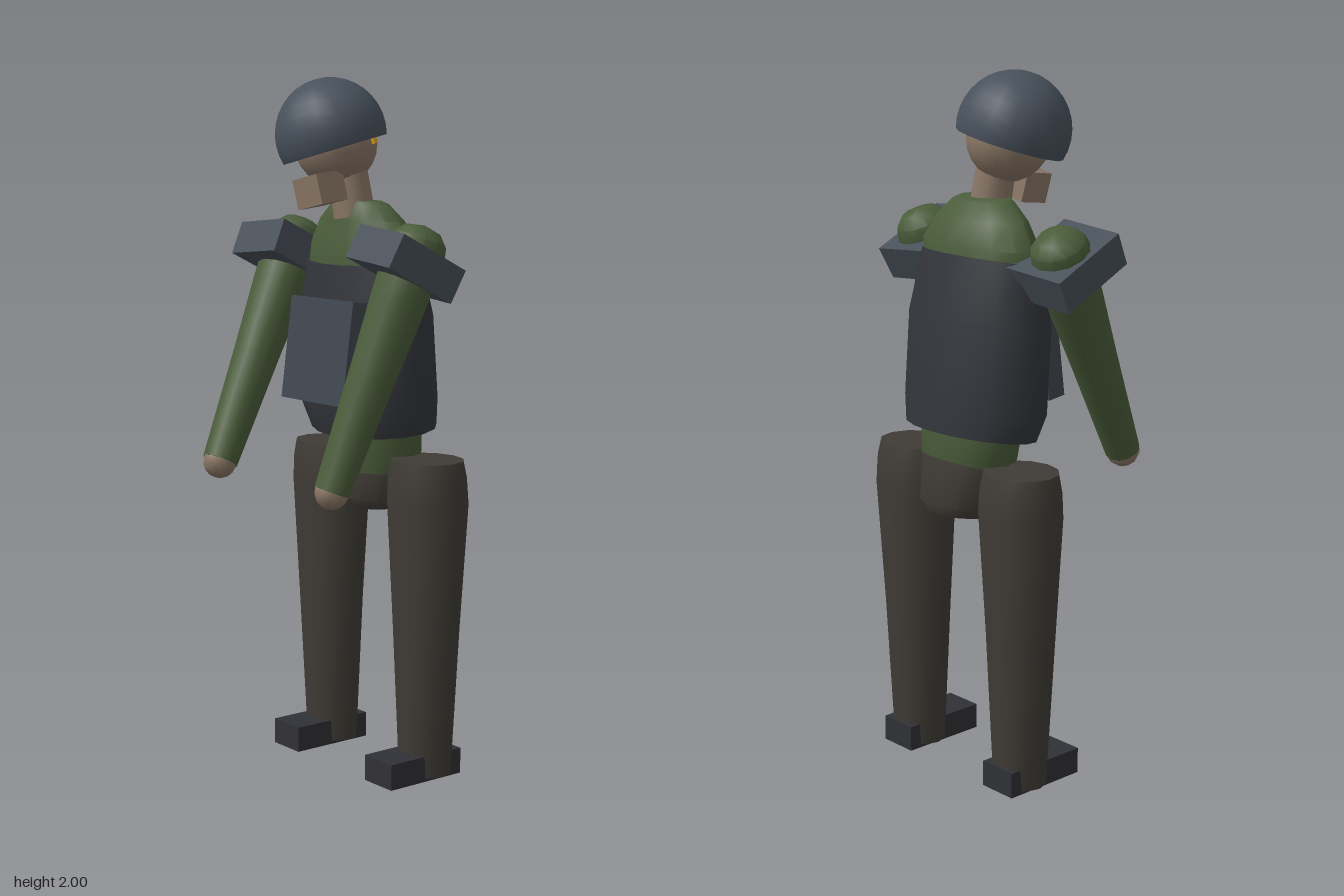
import * as THREE from 'three';
import { toCreasedNormals } from 'three/addons/utils/BufferGeometryUtils.js';

const COLORS = {
  helmet: 0x48515c, skin: 0x8a7766, cloth: 0x4a5c3a, vest: 0x33353b,
  plate: 0x414850, pad: 0x485059, trousers: 0x3f3b35, boot: 0x303136, clip: 0xd8a020,
};
const mats = {};
for (const k in COLORS) mats[k] = new THREE.MeshStandardMaterial({ color: COLORS[k] });
mats.helmet.side = THREE.DoubleSide;

function add(parent, name, geometry, mat, pos = [0, 0, 0], rot = [0, 0, 0]) {
  const m = new THREE.Mesh(geometry, mats[mat]);
  m.name = name;
  m.position.set(...pos);
  m.rotation.set(...rot);
  parent.add(m);
  return m;
}

// Closed body from elliptical rings, bottom to top: [y, centreX, rx, zBack, zFront, tilt]
function loft(rings, sides = 14) {
  const point = ([y, cx, rx, zb, zf, tilt = 0], j) => {
    const a = (j / sides) * Math.PI * 2;
    const s = Math.sin(a);
    return [cx + rx * Math.cos(a), y - tilt * s, (zb + zf) / 2 + ((zf - zb) / 2) * s];
  };
  const centre = ([y, cx, , zb, zf]) => [cx, y, (zb + zf) / 2];
  const out = [];
  const last = rings[rings.length - 1];
  for (let j = 0; j < sides; j++) {
    for (let i = 0; i < rings.length - 1; i++) {
      const a = point(rings[i], j), b = point(rings[i], j + 1);
      const c = point(rings[i + 1], j), d = point(rings[i + 1], j + 1);
      out.push(...a, ...c, ...b, ...b, ...c, ...d);
    }
    out.push(...centre(rings[0]), ...point(rings[0], j), ...point(rings[0], j + 1));
    out.push(...centre(last), ...point(last, j + 1), ...point(last, j));
  }
  const g = new THREE.BufferGeometry();
  g.setAttribute('position', new THREE.Float32BufferAttribute(out, 3));
  return toCreasedNormals(g, 0.7);
}

// Tapered sleeve with a rounded shoulder, running from shoulder to hand
function addArm(parent, shoulder, hand) {
  const s = new THREE.Vector3(...shoulder), h = new THREE.Vector3(...hand);
  const dir = s.clone().sub(h);
  const len = dir.length();
  const profile = [
    [0, 0], [0.051, 0], [0.067, len * 0.48], [0.08, len * 0.8],
    [0.085, len], [0.078, len + 0.035], [0.052, len + 0.063], [0, len + 0.075],
  ].map((p) => new THREE.Vector2(...p));
  const arm = add(parent, 'sleeve', toCreasedNormals(new THREE.LatheGeometry(profile, 12), 0.7), 'cloth', hand);
  arm.quaternion.setFromUnitVectors(new THREE.Vector3(0, 1, 0), dir.normalize());
  const fist = add(parent, 'hand', new THREE.SphereGeometry(0.05, 10, 8), 'skin', hand);
  fist.quaternion.copy(arm.quaternion);
}

export function createModel() {
  const model = new THREE.Group();
  model.name = 'soldier';

  // Trunk
  add(model, 'pelvis', loft([
    [0.772, 0, 0.105, -0.285, -0.09, 0.01],
    [0.80, 0, 0.13, -0.295, -0.07, 0.01],
    [0.91, 0, 0.15, -0.272, -0.07, 0.03],
  ]), 'trousers');
  add(model, 'shirt', loft([
    [0.875, 0, 0.14, -0.25, -0.058],
    [0.94, 0, 0.165, -0.268, -0.045],
    [1.05, 0, 0.18, -0.26, -0.03],
    [1.48, 0, 0.213, -0.212, 0.005],
    [1.53, 0, 0.213, -0.212, -0.005],
    [1.60, 0.005, 0.165, -0.18, -0.015],
    [1.645, 0.01, 0.11, -0.15, -0.025],
    [1.655, 0.01, 0.09, -0.13, -0.03],
  ]), 'cloth');
  add(model, 'vest', loft([
    [1.003, 0, 0.225, -0.295, 0.0, 0.02],
    [1.08, 0, 0.245, -0.29, 0.03, 0.02],
    [1.32, 0, 0.25, -0.265, 0.035, 0.02],
    [1.492, 0, 0.22, -0.222, 0.012, 0.018],
  ], 16), 'vest');
  add(model, 'chestPlate', new THREE.BoxGeometry(0.285, 0.295, 0.06), 'plate', [0.002, 1.232, 0.033], [-0.13, 0, 0]);

  // Legs, boots and shoulder pads
  for (const s of [-1, 1]) {
    const side = s > 0 ? 'left' : 'right';
    add(model, side + 'Leg', loft([
      [0.01, s * 0.22, 0.083, -0.238, -0.092],
      [0.45, s * 0.222, 0.109, -0.255, -0.073],
      [0.81, s * 0.223, 0.132, -0.275, -0.056],
      [0.88, s * 0.223, 0.126, -0.272, -0.056],
      [0.93, s * 0.223, 0.114, -0.262, -0.062],
    ], 12), 'trousers');
    add(model, side + 'Boot', new THREE.BoxGeometry(0.12, 0.075, 0.26), 'boot', [s * 0.22, 0.0375, -0.12]);
    add(model, side + 'ShoulderPad', new THREE.BoxGeometry(0.2, 0.1, 0.245), 'pad', [s * 0.27, 1.492, -0.04], [-0.46, 0, -s * 0.1]);
  }

  // Arms
  const arms = { right: [-0.205, 0.91, 0.255], left: [0.205, 0.87, 0.165] };
  for (const side in arms) {
    const g = new THREE.Group();
    g.name = side + 'Arm';
    addArm(g, [side === 'left' ? 0.277 : -0.28, 1.525, -0.07], arms[side]);
    model.add(g);
  }

  // Head, nodding forward and leaning to one side
  add(model, 'neck', new THREE.CylinderGeometry(0.055, 0.06, 0.16, 12), 'skin', [0, 1.69, -0.06], [0.1, 0, 0.12]);
  const head = new THREE.Group();
  head.name = 'head';
  head.position.set(-0.04, 1.84, -0.02);
  head.rotation.set(0.22, 0, 0.19);
  model.add(head);
  add(head, 'skull', new THREE.SphereGeometry(0.118, 14, 12), 'skin', [0, -0.03, -0.008]);
  add(head, 'jaw', new THREE.BoxGeometry(0.12, 0.085, 0.09), 'skin', [0.0, -0.14, 0.09], [-0.1, 0, 0]);
  add(head, 'helmet', new THREE.SphereGeometry(0.16, 16, 10, 0, Math.PI * 2, 0, 1.85), 'helmet');
  add(head, 'strapClip', new THREE.BoxGeometry(0.012, 0.03, 0.012), 'clip', [0.115, -0.045, -0.055]);
  return model;
}
